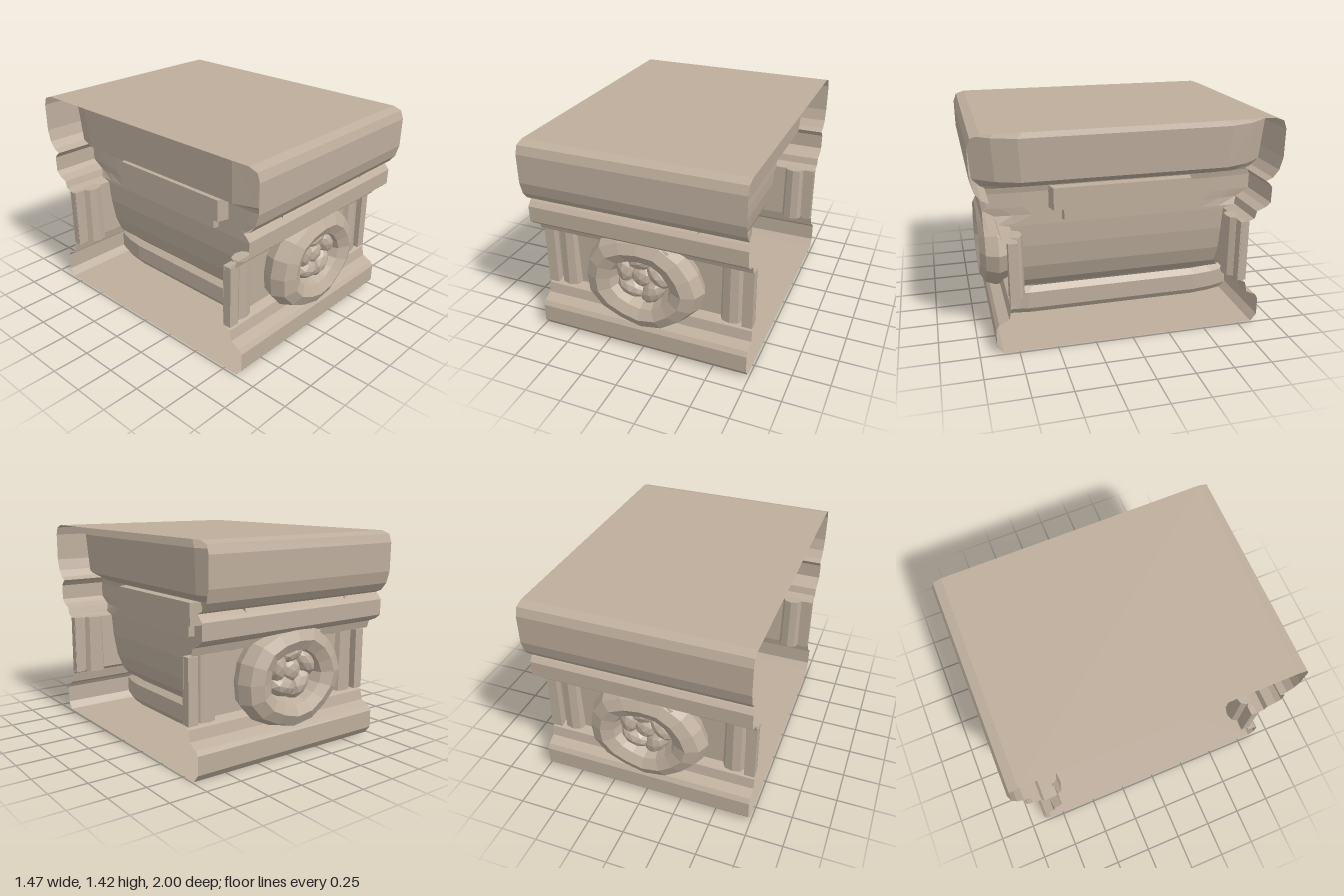
import * as THREE from 'three';

const W = 0.735; // half width of the outer shell

export function createModel() {
  const model = new THREE.Group();
  model.name = 'carvedStoneBlock';
  const stone = new THREE.MeshStandardMaterial({ color: 0xbdad9c, flatShading: true, side: THREE.DoubleSide });
  stone.name = 'weathered stone';

  const add = (name, geometry, parent = model) => {
    const mesh = new THREE.Mesh(geometry, stone);
    mesh.name = name;
    parent.add(mesh);
    return mesh;
  };

  // Surface through rows of points, all rows the same length
  const loft = (rows) => {
    const n = rows[0].length, index = [];
    for (let r = 1; r < rows.length; r++) {
      for (let c = 1; c < n; c++) {
        const a = (r - 1) * n + c - 1, b = r * n + c - 1;
        index.push(a, a + 1, b + 1, a, b + 1, b);
      }
    }
    const g = new THREE.BufferGeometry();
    g.setAttribute('position', new THREE.Float32BufferAttribute(rows.flat(2), 3));
    g.setIndex(index);
    g.computeVertexNormals();
    return g;
  };

  // Outer shell: top, bottom and the moulded front and back, as [z, y]
  const half = [
    [0.92, 1.425], [0.98, 1.405], [1, 1.35], [0.998, 1.16], [0.975, 1.08], [0.935, 1.03], [0.89, 1.01],
    [0.91, 0.995], [0.935, 0.965], [0.933, 0.86], [0.9, 0.83], [0.84, 0.805], [0.825, 0.755],
    [0.742, 0.732], [0.735, 0.33], [0.79, 0.3], [0.805, 0.23], [0.87, 0.2], [0.89, 0.17],
    [0.89, 0.05], [0.85, 0],
  ];
  const back = half.map(([z, y]) => [-z, y]).reverse();
  add('mouldedShell', loft([...half, ...back, half[0]].map(([z, y]) => [[-W, y, z], [W, y, z]])));

  // Recessed side walls closing the shell: height, half depth, x and how far the ends turn in
  const wall = [
    [1.42, 0.92, 0.6, 0.16], [1.36, 0.99, 0.62, 0.16], [1.08, 0.97, 0.6, 0.16], [1.025, 0.92, 0.5, 0.08],
    [1.0, 0.91, 0.43, 0.02], [0.96, 0.93, 0.42, 0.02], [0.86, 0.93, 0.42, 0.02], [0.805, 0.84, 0.42, 0.02],
    [0.75, 0.82, 0.42, 0], [0.732, 0.742, 0.42, 0], [0.58, 0.735, 0.41, 0], [0.42, 0.735, 0.38, 0],
    [0.3, 0.735, 0.33, 0], [0.22, 0.79, 0.24, 0], [0.205, 0.84, 0.23, 0.05], [0.17, 0.88, 0.27, 0.06],
    [0.05, 0.88, 0.27, 0.06], [0.005, 0.85, 0.24, 0.05],
  ];
  const columns = [[-1, 1], [-0.86, 0.35], [-0.7, 0], [0.7, 0], [0.86, 0.35], [1, 1]];
  for (const s of [-1, 1]) {
    add('sideWall', loft(wall.map(([y, z, x, turn]) => columns.map(([t, k]) => [s * (x - turn * k), y, z * t]))));

    // Stacked bars below the slab, ends chamfered
    for (const [name, x, y, h, z] of [['upperSideBar', 0.5, 0.92, 0.15, 0.5], ['lowerSideBar', 0.46, 0.8, 0.08, 0.42]]) {
      const g = new THREE.BoxGeometry(0.14, h, 2 * z);
      const p = g.attributes.position;
      for (let i = 0; i < p.count; i++) {
        if (p.getX(i) > 0) p.setZ(i, p.getZ(i) * 0.93);
      }
      const bar = add(name, g);
      bar.position.set(s * (x - 0.07), y, 0);
      bar.rotation.y = s > 0 ? 0 : Math.PI;
    }
  }

  // Rosette and pilasters, the same on front and back
  for (const turn of [0, 1]) {
    const face = new THREE.Group();
    face.name = turn ? 'backCarving' : 'frontCarving';
    face.rotation.y = turn * Math.PI;
    model.add(face);

    for (const s of [-1, 1]) {
      const pilaster = add('pilaster', new THREE.CylinderGeometry(0.07, 0.075, 0.42, 8), face);
      pilaster.position.set(s * 0.58, 0.53, 0.735);
      pilaster.scale.z = 0.7;
      const edge = add('edgeFillet', new THREE.BoxGeometry(0.07, 0.42, 0.06), face);
      edge.position.set(s * 0.698, 0.53, 0.762);
    }

    const rosette = new THREE.Group();
    rosette.name = 'rosette';
    rosette.position.set(0.01, 0.53, 0.82);
    face.add(rosette);

    // Outer petal ring with a slightly uneven, chiselled rim
    const ring = new THREE.TorusGeometry(0.295, 0.115, 8, 16);
    const p = ring.attributes.position;
    for (let i = 0; i < p.count; i++) {
      const a = Math.atan2(p.getY(i), p.getX(i));
      const k = 1 + 0.025 * Math.cos(5 * a + 0.6);
      p.setXYZ(i, p.getX(i) * k, p.getY(i) * k * 0.83, p.getZ(i) * 1.03);
    }
    ring.computeVertexNormals();
    add('outerPetals', ring, rosette);

    const dish = add('rosetteDish', new THREE.CircleGeometry(0.3, 16), rosette);
    dish.scale.y = 0.83;
    dish.position.z = -0.02;

    // Inner petals curl round the bud, each tilted like a swirl
    for (let i = 0; i < 5; i++) {
      const a = Math.PI / 2 + (i * Math.PI * 2) / 5;
      const petal = add('innerPetal', new THREE.IcosahedronGeometry(0.11, 1), rosette);
      petal.position.set(Math.cos(a) * 0.12, Math.sin(a) * 0.12 + 0.04, 0);
      petal.rotation.z = a + 0.35;
      petal.scale.set(0.65, 1.05, 0.8);
    }
    const bud = add('bud', new THREE.IcosahedronGeometry(0.09, 1), rosette);
    bud.position.set(0, 0.04, 0);
    bud.scale.z = 0.8;

    // Leaf tip rising over the ring to the cornice
    const tip = add('leafTip', new THREE.ConeGeometry(0.13, 0.14, 5), rosette);
    tip.position.set(0.07, 0.28, 0.06);
    tip.rotation.z = 0.5;
    tip.scale.z = 0.4;
  }
  return model;
}
